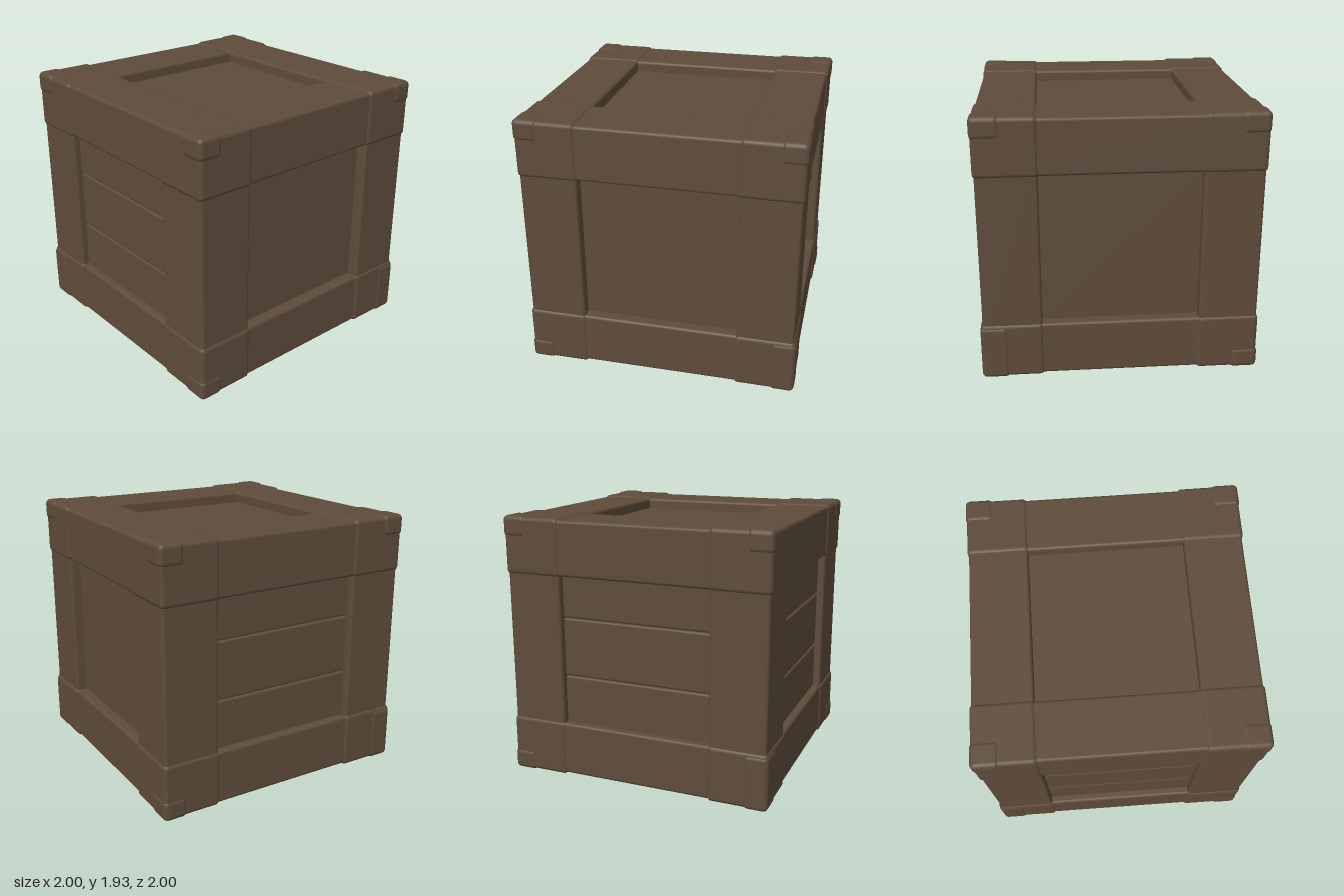
import * as THREE from 'three';
import { RoundedBoxGeometry } from 'three/addons/geometries/RoundedBoxGeometry.js';

const MID = 0.965; // height of the crate's centre

export function createModel() {
  const crate = new THREE.Group();
  crate.name = 'crate';
  const wood = new THREE.MeshStandardMaterial({ color: 0x5e4c3b });
  wood.name = 'brown wood';

  // Rounded box spanning two opposite corners, measured from the crate's centre
  function block(name, a, b, radius) {
    const size = a.map((v, i) => Math.abs(b[i] - v));
    const mesh = new THREE.Mesh(new RoundedBoxGeometry(...size, 3, radius), wood);
    mesh.position.set((a[0] + b[0]) / 2, (a[1] + b[1]) / 2 + MID, (a[2] + b[2]) / 2);
    mesh.name = name;
    crate.add(mesh);
  }

  const inner = [0.56, 0.55, 0.565];      // inside edge of the frame
  const beamOuter = [0.982, 0.947, 0.982];
  const blockOuter = [0.993, 0.958, 0.993];
  const capOuter = [1.0, 0.965, 1.0];
  const signs = [-1, 1];

  // Recessed panels: one core box forms the plain sides
  const core = new THREE.Mesh(new THREE.BoxGeometry(1.8, 1.73, 1.8), wood);
  core.position.y = MID;
  core.name = 'panels';
  crate.add(core);

  // Horizontal planks on the front and on one side
  const plankEdges = [0.38, 0.77, 1.205, 1.58].map((y) => y - MID);
  for (let i = 0; i < 3; i++) {
    const low = plankEdges[i] + 0.002, high = plankEdges[i + 1] - 0.002;
    block('frontPlank', [-0.6, low, 0.84], [0.6, high, 0.925], 0.016);
    block('sidePlank', [-0.925, low, -0.6], [-0.84, high, 0.6], 0.016);
  }

  // Twelve frame beams, four along each axis
  const beamNames = ['crossBeam', 'uprightBeam', 'depthBeam'];
  for (let axis = 0; axis < 3; axis++) {
    const u = (axis + 1) % 3, v = (axis + 2) % 3;
    for (const su of signs) for (const sv of signs) {
      const a = [], b = [];
      a[axis] = -inner[axis] - 0.1;
      b[axis] = inner[axis] + 0.1;
      a[u] = su * inner[u];
      b[u] = su * beamOuter[u];
      a[v] = sv * inner[v];
      b[v] = sv * beamOuter[v];
      block(beamNames[axis], a, b, 0.022);
    }
  }

  // Corner blocks, each with a small raised cap
  for (const sx of signs) for (const sy of signs) for (const sz of signs) {
    const s = [sx, sy, sz];
    const at = (p) => p.map((v, i) => v * s[i]);
    block('cornerBlock', at(inner.map((v) => v - 0.006)), at(blockOuter), 0.03);
    // two of the lower caps run the full height of their block
    const tall = sy < 0 && sx !== sz && (sx < 0 || sz < 0);
    block('cornerCap', at([0.8, tall ? 0.56 : 0.81, 0.82]), at(capOuter), 0.035);
  }
  return crate;
}
